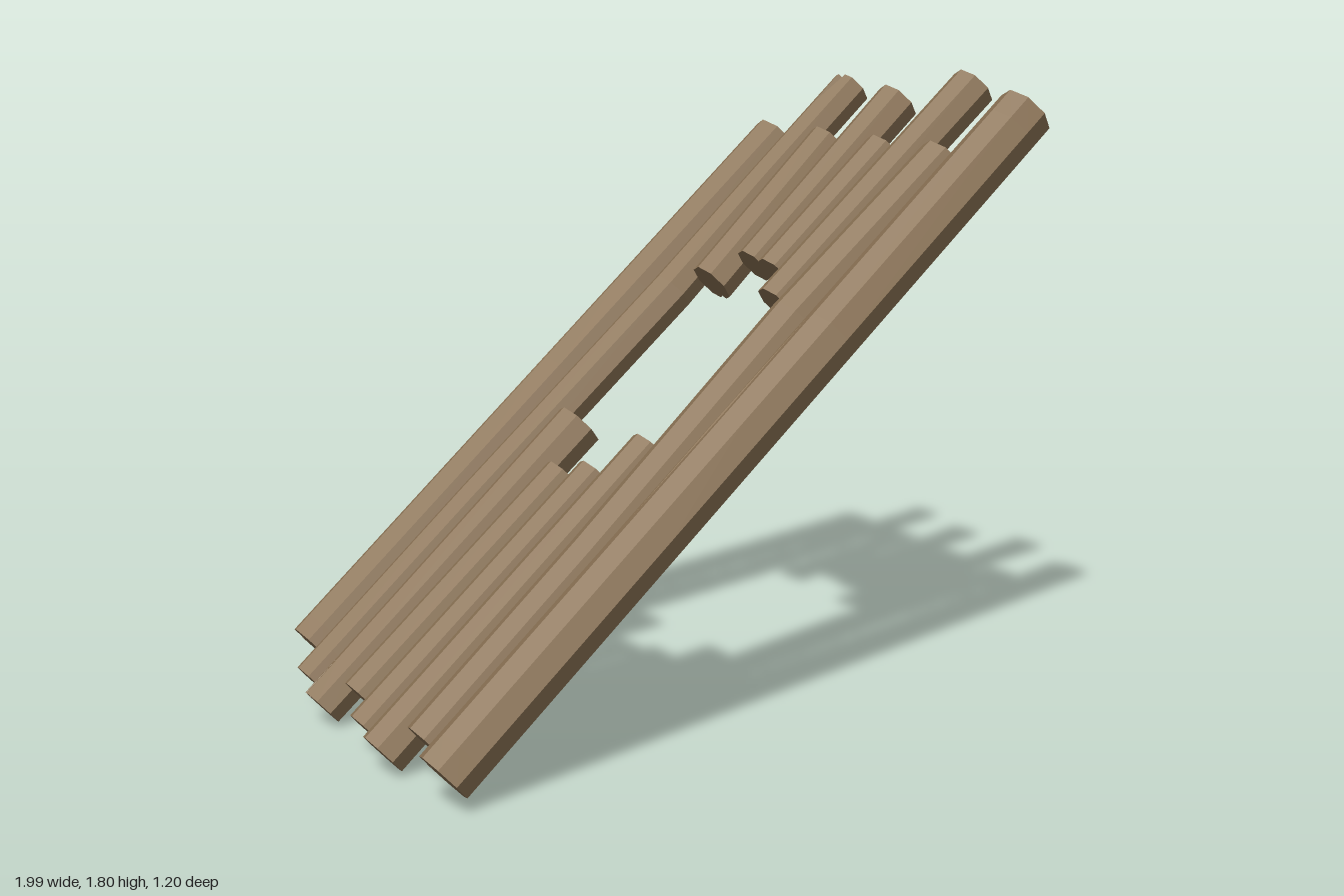
import * as THREE from 'three';

const SLOPE = THREE.MathUtils.degToRad(41.8);
const SIDES = 8;
const rad = THREE.MathUtils.degToRad;

// Radius of a regular octagon of circumradius r, in direction a (degrees)
function octagon(r, a) {
  const m = ((a % 45) + 45) % 45;
  return r * Math.cos(rad(22.5)) / Math.cos(rad(m - 22.5));
}

// Linear interpolation of one column of a station list
function sample(points, x, col) {
  for (let i = 0; i < points.length - 1; i++) {
    const p = points[i], q = points[i + 1];
    if (x <= q[0] || i === points.length - 2) {
      return p[col] + (q[col] - p[col]) * (x - p[0]) / (q[0] - p[0]);
    }
  }
}

// Log along local x. path: [x, z, radius]; grooves: V cuts that taper
// from nothing at x0 to full size at xm and back to nothing at x1.
// Angles run from the upper side (0) towards +z (90).
function logGeometry(path, grooves) {
  const amount = (g, x) => {
    if (x < g.x0 - 1e-6 || x > g.x1 + 1e-6) return 0;
    if (Math.abs(x - g.xm) < 1e-6) return 1;
    return x < g.xm ? (x - g.x0) / (g.xm - g.x0) : (g.x1 - x) / (g.x1 - g.xm);
  };
  const x0 = path[0][0], x1 = path[path.length - 1][0];
  const stations = [...path.map(p => p[0]), ...grooves.flatMap(g => [g.x0, g.xm, g.x1])]
    .filter(x => x >= x0 && x <= x1)
    .sort((a, b) => a - b)
    .filter((x, i, all) => i === 0 || x - all[i - 1] > 1e-5);

  // Outline corners: octagon corners plus three points per groove
  const corners = [];
  for (let i = 0; i < SIDES; i++) {
    const a = i * 45;
    if (!grooves.some(g => g.angle === a)) corners.push({ a, key: a });
  }
  for (const g of grooves) {
    for (const s of [-1, 0, 1]) corners.push({ a: g.angle, key: g.angle + s * g.width, s, g });
  }
  corners.sort((p, q) => p.key - q.key);

  const rings = stations.map(x => {
    const z = sample(path, x, 1), r = sample(path, x, 2);
    return corners.map(c => {
      const k = c.g ? amount(c.g, x) : 0;
      const a = c.g ? c.a + c.s * c.g.width * k : c.a;
      const cut = c.g && c.s === 0 ? 1 - c.g.depth * k : 1;
      const d = octagon(r, a) * cut;
      return [x, d * Math.cos(rad(a)), z + d * Math.sin(rad(a))];
    });
  });

  const pos = [];
  const tri = (a, b, c) => pos.push(...a, ...b, ...c);
  const n = corners.length, last = rings.length - 1;
  const startMid = [x0, 0, path[0][1]], endMid = [x1, 0, path[path.length - 1][1]];
  for (let j = 0; j < n; j++) {
    const k = (j + 1) % n;
    for (let i = 0; i < last; i++) {
      const [a, b, c, d] = [rings[i][j], rings[i][k], rings[i + 1][j], rings[i + 1][k]];
      tri(a, b, c);
      tri(b, d, c);
    }
    tri(startMid, rings[0][k], rings[0][j]);
    tri(endMid, rings[last][j], rings[last][k]);
  }
  const geo = new THREE.BufferGeometry();
  geo.setAttribute('position', new THREE.Float32BufferAttribute(pos, 3));
  geo.computeVertexNormals();
  return geo;
}

export function createModel() {
  const model = new THREE.Group();
  model.name = 'brokenLogWall';
  const wood = new THREE.MeshStandardMaterial({ color: 0x8b7355, flatShading: true });
  wood.name = 'weatheredWood';

  const wall = new THREE.Group();
  wall.name = 'leaningLogs';
  wall.rotation.z = SLOPE;
  wall.position.y = 0.906;
  model.add(wall);

  // Path x values are horizontal; stretch them onto the slope
  const along = x => x / Math.cos(SLOPE);
  function addLog(name, path, cuts = []) {
    const p = path.map(([x, z, r]) => [along(x), z, r]);
    const start = p[0][0], end = p[p.length - 1][0];
    const grooves = cuts.map(({ at, angle, width = 14, depth = 0.5, length = 0.1 }) => {
      if (at === 'low') return { angle, width, depth, x0: start, xm: start, x1: start + length };
      if (at === 'high') return { angle, width, depth, x0: end - length, xm: end, x1: end };
      return { angle, width, depth, x0: along(at - 0.27), xm: along(at), x1: along(at + 0.27) };
    });
    const mesh = new THREE.Mesh(logGeometry(p, grooves), wood);
    mesh.name = name;
    wall.add(mesh);
  }

  // Long outer logs with diamond-shaped cracks
  addLog('backOuterLog', [[-0.865, -0.517, 0.083], [0.735, -0.517, 0.083]], [
    { at: -0.04, angle: 330, width: 11, depth: 0.2 },
    { at: -0.04, angle: 210, width: 11, depth: 0.2 },
    { at: 'low', angle: 293, width: 12, length: 0.06 },
  ]);
  addLog('frontOuterLog', [[-0.915, 0.517, 0.083], [0.885, 0.517, 0.083]], [
    { at: -0.03, angle: 330, width: 11, depth: 0.2 },
    { at: -0.03, angle: 210, width: 11, depth: 0.2 },
    { at: 'low', angle: 293, width: 12, depth: 0.4, length: 0.08 },
    { at: 'high', angle: 270, width: 14, length: 0.08 },
  ]);

  // Bowed logs beside the gap
  addLog('backBowedLog', [[-0.925, -0.373, 0.064], [-0.4, -0.368, 0.067], [0.25, -0.348, 0.068], [0.6, -0.368, 0.064], [0.917, -0.374, 0.064]], [
    { at: 'high', angle: 0, width: 18, depth: 0.6, length: 0.14 },
    { at: 'low', angle: 180, width: 14, length: 0.1 },
  ]);
  addLog('frontBowedLog', [[-0.885, 0.358, 0.075], [-0.4, 0.356, 0.076], [0.25, 0.332, 0.08], [0.73, 0.355, 0.075]]);

  // Snapped logs: lower and upper stubs on each side of the gap
  const stubs = [
    { low: [[-0.955, -0.227, 0.065], [-0.14, -0.215, 0.075]], high: [[0.295, -0.19, 0.07], [0.74, -0.232, 0.07]] },
    { low: [[-0.89, -0.082, 0.067], [-0.265, -0.065, 0.067]], high: [[0.365, -0.063, 0.063], [0.885, -0.082, 0.069]] },
    { low: [[-0.935, 0.064, 0.066], [-0.235, 0.075, 0.066]], high: [[0.355, 0.062, 0.063], [0.735, 0.066, 0.067]] },
    { low: [[-0.952, 0.207, 0.071], [-0.135, 0.208, 0.068]], high: [[0.28, 0.187, 0.066], [0.945, 0.205, 0.069]] },
  ];
  const splits = [
    { low: [{ at: 'low', angle: 337, length: 0.13 }], high: [{ at: 'low', angle: 180, length: 0.3, depth: 0.3 }] },
    {},
    { low: [{ at: 'low', angle: 225, length: 0.08 }] },
    {},
  ];
  stubs.forEach((s, i) => {
    addLog(`lowerStub${i + 1}`, s.low, splits[i].low);
    addLog(`upperStub${i + 1}`, s.high, splits[i].high);
  });

  return model;
}
